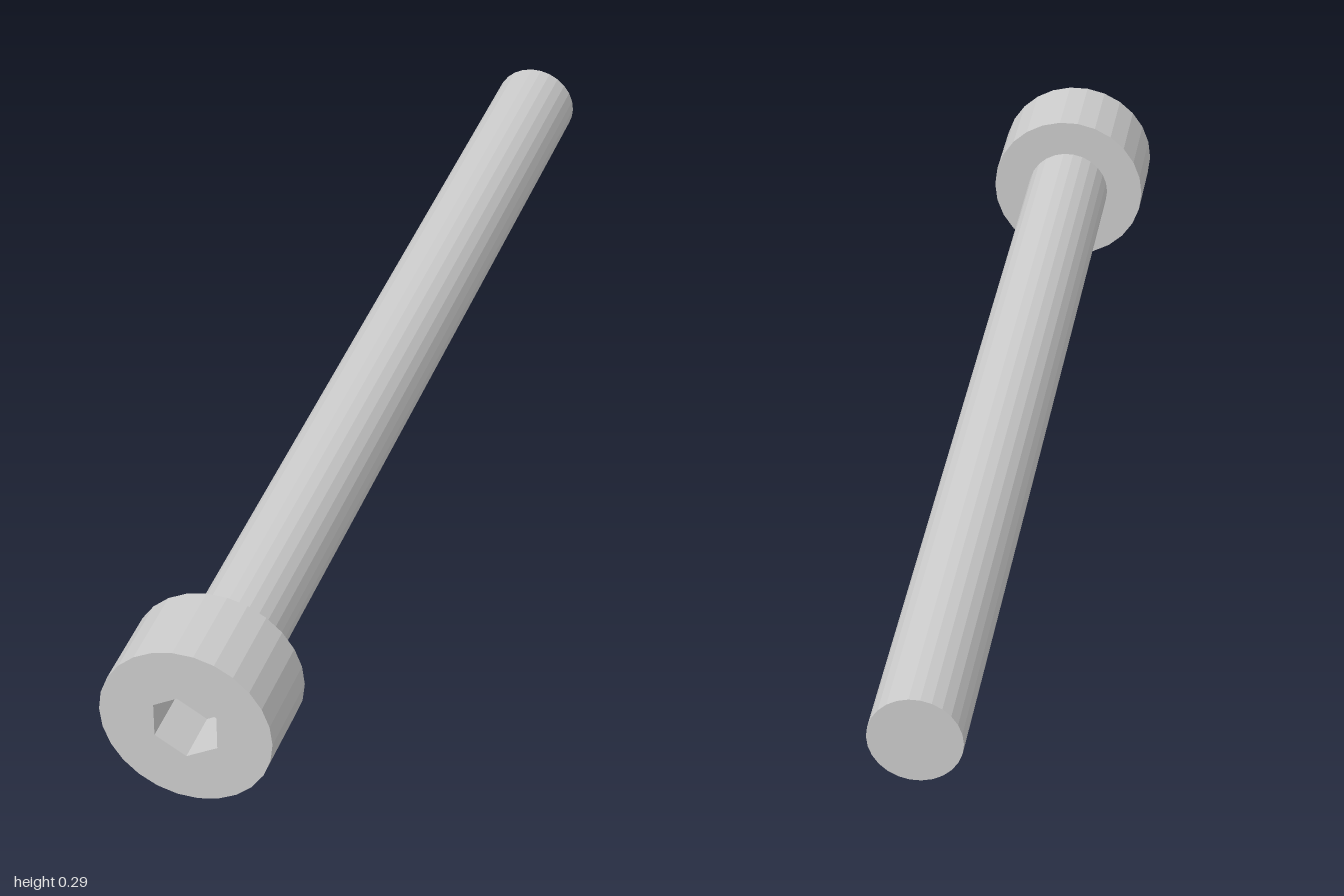
import * as THREE from 'three';

const SIDES = 26;
const HEAD_R = 0.1448, SHAFT_R = 0.077, HEX_R = 0.0607;
const FRONT = 1, HEAD_BACK = 0.844, SOCKET_FLOOR = 0.905, TIP = -1;
const AXIS_Y = 0.144;

const steel = new THREE.MeshStandardMaterial({ color: 0xcccccc, flatShading: true });
const steelInside = new THREE.MeshStandardMaterial({ color: 0xcccccc, flatShading: true, side: THREE.DoubleSide });

// Corners of a regular polygon around the screw axis
function polygon(radius, sides, start = 0) {
  return Array.from({ length: sides }, (_, i) => {
    const a = start + (i * 2 * Math.PI) / sides;
    return new THREE.Vector2(radius * Math.cos(a), radius * Math.sin(a));
  });
}

// Flat face across the axis, optionally with a hole, facing +z or -z
function face(outline, hole, z, backward = false) {
  const shape = new THREE.Shape(outline);
  if (hole) shape.holes.push(new THREE.Path(hole));
  const geometry = new THREE.ShapeGeometry(shape);
  if (backward) geometry.rotateY(Math.PI);
  return geometry.translate(0, 0, z);
}

// Open prism wall running along z
function wall(radius, sides, zFrom, zTo, start) {
  return new THREE.CylinderGeometry(radius, radius, zTo - zFrom, sides, 1, true, start)
    .rotateX(Math.PI / 2)
    .translate(0, 0, (zFrom + zTo) / 2);
}

export function createModel() {
  const model = new THREE.Group();
  model.name = 'socketHeadScrew';

  const addPart = (name, pieces) => {
    const part = new THREE.Group();
    part.name = name;
    for (const [pieceName, geometry, material = steel] of pieces) {
      const mesh = new THREE.Mesh(geometry, material);
      mesh.name = pieceName;
      part.add(mesh);
    }
    part.position.y = AXIS_Y;
    model.add(part);
  };

  const headOutline = polygon(HEAD_R, SIDES);
  const shaftOutline = polygon(SHAFT_R, SIDES);
  const hexOutline = polygon(HEX_R, 6, Math.PI / 2);

  // Cylindrical head
  addPart('head', [
    ['headFront', face(headOutline, hexOutline, FRONT)],
    ['headSide', wall(HEAD_R, SIDES, HEAD_BACK, FRONT, Math.PI / 2)],
    ['headUnderside', face(headOutline, shaftOutline, HEAD_BACK, true)],
  ]);

  // Hexagonal key recess
  addPart('hexSocket', [
    ['socketWalls', wall(HEX_R, 6, SOCKET_FLOOR, FRONT, 0), steelInside],
    ['socketFloor', face(hexOutline, null, SOCKET_FLOOR)],
  ]);

  // Plain shaft with a flat tip
  addPart('shaft', [
    ['shaftSide', wall(SHAFT_R, SIDES, TIP, HEAD_BACK, Math.PI / 2)],
    ['shaftTip', face(shaftOutline, null, TIP, true)],
  ]);

  return model;
}
